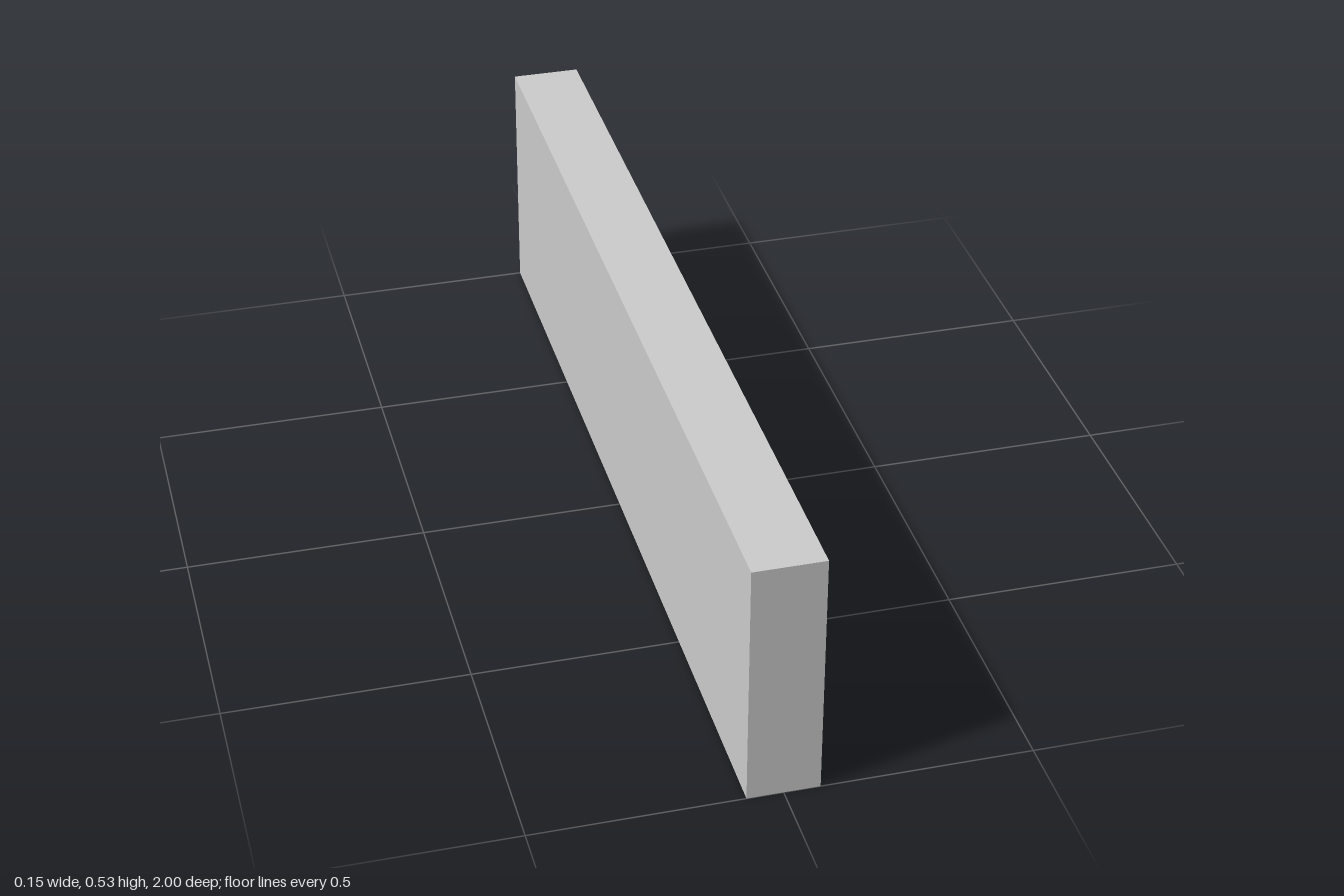
import * as THREE from 'three';

const LENGTH = 2, HEIGHT = 0.527, DEPTH = 0.146;
const COLS = 12, ROWS = 3;
const EDGE = 0.008;      // outer rim
const GAP_Z = 0.0175;    // upright dividers
const GAP_Y = 0.02;      // shelves
const BACK = 0.009;      // back panel

// Closed rectangle given by its lower corner and size
function rectangle(target, x, y, w, h) {
  target.moveTo(x, y);
  target.lineTo(x + w, y);
  target.lineTo(x + w, y + h);
  target.lineTo(x, y + h);
  target.closePath();
  return target;
}

export function createModel() {
  const group = new THREE.Group();
  group.name = 'compartmentShelf';
  const material = new THREE.MeshStandardMaterial({ color: 0xcccccc });

  // Lattice of shelves and dividers, open towards +x
  const outline = rectangle(new THREE.Shape(), -LENGTH / 2, 0, LENGTH, HEIGHT);
  const cellW = (LENGTH - 2 * EDGE - (COLS - 1) * GAP_Z) / COLS;
  const cellH = (HEIGHT - 2 * EDGE - (ROWS - 1) * GAP_Y) / ROWS;
  for (let c = 0; c < COLS; c++) {
    for (let r = 0; r < ROWS; r++) {
      const x = -LENGTH / 2 + EDGE + c * (cellW + GAP_Z);
      const y = EDGE + r * (cellH + GAP_Y);
      outline.holes.push(rectangle(new THREE.Path(), x, y, cellW, cellH));
    }
  }
  const latticeGeometry = new THREE.ExtrudeGeometry(outline, { depth: DEPTH - BACK, bevelEnabled: false });
  latticeGeometry.rotateY(Math.PI / 2);
  const lattice = new THREE.Mesh(latticeGeometry, material);
  lattice.name = 'shelfLattice';
  lattice.position.x = -DEPTH / 2 + BACK;
  group.add(lattice);

  // Solid panel closing the -x side
  const panel = new THREE.Mesh(new THREE.BoxGeometry(BACK, HEIGHT, LENGTH), material);
  panel.name = 'backPanel';
  panel.position.set(-DEPTH / 2 + BACK / 2, HEIGHT / 2, 0);
  group.add(panel);

  return group;
}
